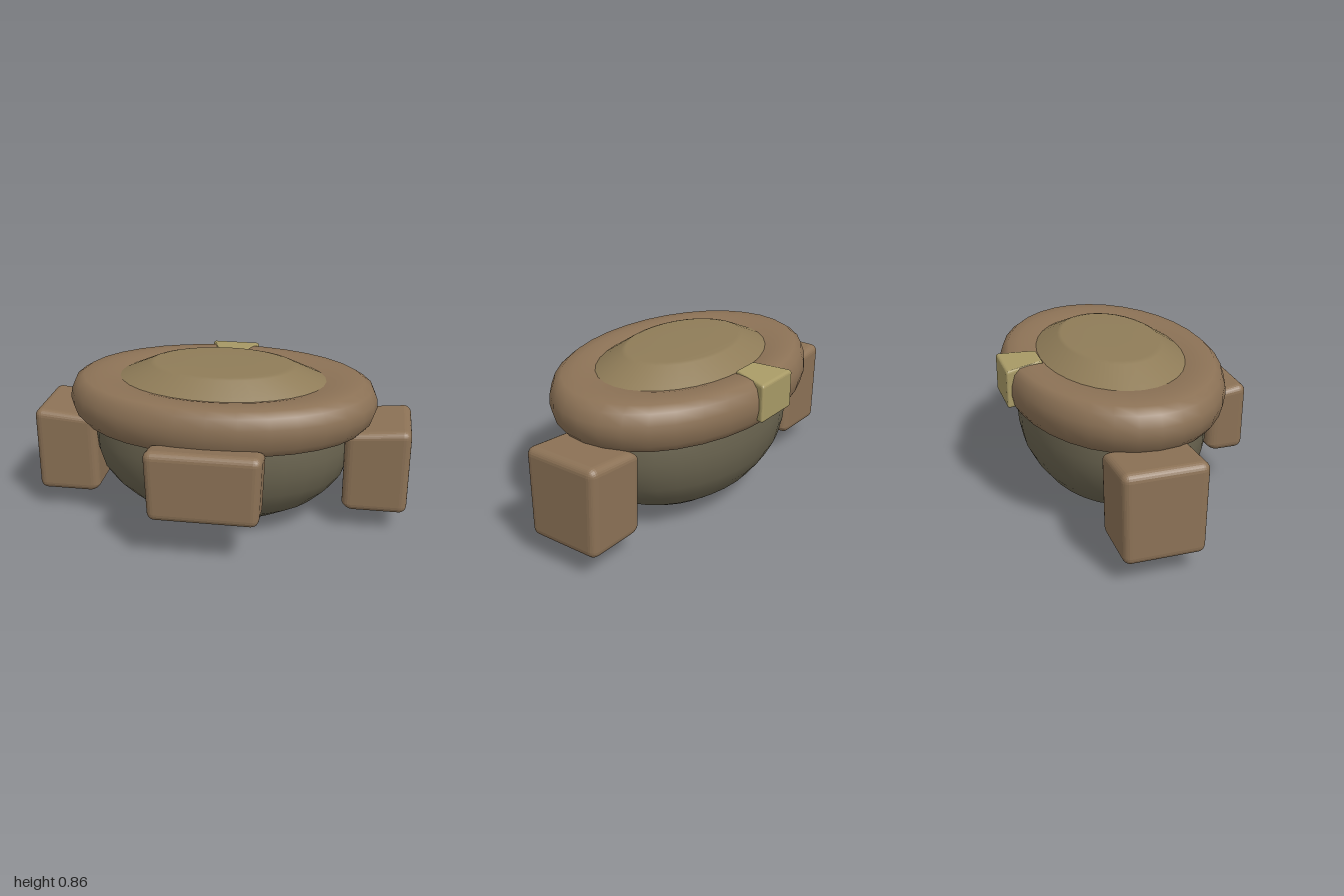
import * as THREE from 'three';
import { RoundedBoxGeometry } from 'three/addons/geometries/RoundedBoxGeometry.js';

const CENTRE_Z = -0.045;
const paint = (color) => new THREE.MeshStandardMaterial({ color });
const leather = paint(0x8c7256);
const cloth = paint(0x69634f);
const tan = paint(0x8f7c58);
const brass = paint(0xa89a66);

function addMesh(group, name, geometry, material) {
  const mesh = new THREE.Mesh(geometry, material);
  mesh.name = name;
  group.add(mesh);
  return mesh;
}

// Oval body of revolution from [radius, height] pairs running upwards
function oval(points, rx, rz, segments = 32) {
  const geometry = new THREE.LatheGeometry(points.map(([r, y]) => new THREE.Vector2(r, y)), segments);
  geometry.scale(rx, 1, rz);
  return geometry.translate(0, 0, CENTRE_Z);
}

// Soft box that bulges towards the body (-z) and widens a little at the top
function pouchGeometry(w, h, d) {
  const geometry = new RoundedBoxGeometry(w, h, d, 3, 0.04);
  const p = geometry.attributes.position;
  for (let i = 0; i < p.count; i++) {
    const x = p.getX(i), y = p.getY(i), z = p.getZ(i);
    const inner = Math.max(0, -z / (d / 2));
    const up = y / (h / 2);
    p.setX(i, x * (1 + 0.025 * up));
    p.setY(i, y - inner * 0.03 * Math.max(0, up));
    p.setZ(i, z - inner * 0.06 * (1 - up * up));
  }
  geometry.computeVertexNormals();
  return geometry;
}

export function createModel() {
  const model = new THREE.Group();
  model.name = 'hipsWithBelt';

  // Rounded lower body
  addMesh(model, 'lowerBody', oval([
    [0, 0], [0.18, 0.005], [0.36, 0.025], [0.54, 0.065], [0.75, 0.14], [0.87, 0.215],
    [0.95, 0.29], [0.99, 0.38], [1, 0.45], [0.99, 0.55], [0.95, 0.62],
  ], 0.69, 0.478), cloth);

  // Thick belt round the waist
  addMesh(model, 'belt', oval([
    [0.78, 0.57], [0.87, 0.54], [0.93, 0.55], [0.975, 0.59], [1, 0.65], [0.995, 0.70],
    [0.965, 0.755], [0.91, 0.783], [0.82, 0.787], [0.72, 0.785], [0.6, 0.765],
  ], 0.815, 0.56), leather);

  // Low raised waist top with a flat cap
  addMesh(model, 'waistTop', oval([
    [1, 0.77], [0.92, 0.79], [0.69, 0.848], [0.64, 0.855], [0.3, 0.856], [0, 0.856],
  ], 0.56, 0.375), tan);

  // Front pouch
  addMesh(model, 'frontPouch', pouchGeometry(0.57, 0.37, 0.18), leather)
    .position.set(0, 0.423, 0.528);

  // Side pouches, turned outwards
  for (const side of [1, -1]) {
    const pouch = addMesh(model, side > 0 ? 'leftPouch' : 'rightPouch',
      pouchGeometry(0.415, 0.47, 0.32), leather);
    pouch.rotation.y = side * Math.PI / 2;
    pouch.position.set(side * 0.838, 0.35, -0.087);
  }

  // Buckle at the back, narrowing inwards on top
  const buckle = new RoundedBoxGeometry(0.27, 0.2, 0.2, 2, 0.015);
  const p = buckle.attributes.position;
  for (let i = 0; i < p.count; i++) {
    const inward = (p.getZ(i) + 0.1) / 0.2;
    p.setX(i, p.getX(i) * (1 - 0.45 * inward));
    if (p.getY(i) > 0) p.setY(i, p.getY(i) + 0.015 * inward);
  }
  buckle.computeVertexNormals();
  addMesh(model, 'backBuckle', buckle, brass).position.set(-0.01, 0.683, -0.52);

  return model;
}
